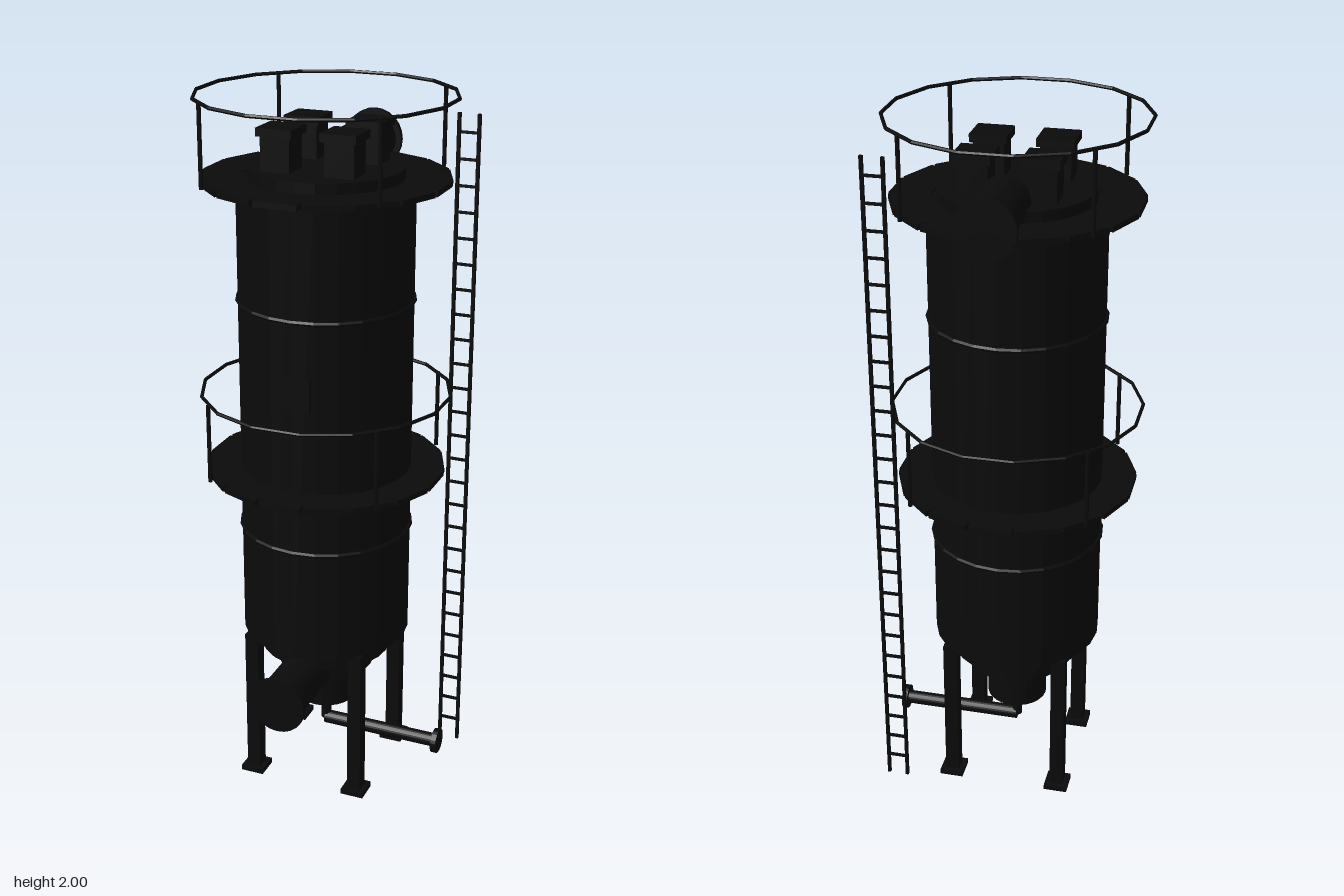
import * as THREE from 'three';

const black = new THREE.MeshStandardMaterial({ color: 0x0b0b0b, flatShading: true });
black.name = 'black steel';

export function createModel() {
  const model = new THREE.Group();
  model.name = 'filterSilo';
  // The tower axis sits slightly off centre, balancing the ladder and outlet
  const tower = new THREE.Group();
  tower.name = 'tower';
  tower.position.x = -0.009;
  model.add(tower);

  const add = (parent, name, geo, x = 0, y = 0, z = 0) => {
    const m = new THREE.Mesh(geo, black);
    m.name = name;
    m.position.set(x, y, z);
    parent.add(m);
    return m;
  };
  const box = (name, w, h, d, x, y, z, parent = tower) =>
    add(parent, name, new THREE.BoxGeometry(w, h, d), x, y, z);
  const drum = (name, r, y0, y1, sides = 24) =>
    add(tower, name, new THREE.CylinderGeometry(r, r, y1 - y0, sides), 0, (y0 + y1) / 2, 0);
  // Horizontal pipe running along z or x between a and b
  const pipe = (name, axis, r, a, b, y) => {
    const geo = new THREE.CylinderGeometry(r, r, Math.abs(b - a), 24);
    const mid = (a + b) / 2;
    if (axis === 'z') return add(tower, name, geo.rotateX(Math.PI / 2), 0, y, mid);
    return add(tower, name, geo.rotateZ(Math.PI / 2), mid, y, 0);
  };

  // Vessel, roof plate and stepped hopper
  drum('vessel', 0.24, 0.455, 1.78);
  drum('roof', 0.21, 1.78, 1.81);
  drum('hopperUpper', 0.19, 0.395, 0.46);
  drum('hopperMiddle', 0.14, 0.335, 0.40);
  drum('hopperLower', 0.088, 0.213, 0.34);
  drum('drainPipe', 0.015, 0.122, 0.22, 12);

  // Reinforcing bands
  for (const y of [0.785, 1.45]) {
    add(tower, 'band', new THREE.TorusGeometry(0.24, 0.007, 6, 24).rotateX(Math.PI / 2), 0, y, 0);
  }

  // Inspection hatch on the front
  box('hatch', 0.085, 0.085, 0.012, 0.013, 1.253, 0.243);

  // Ducts with end flanges
  pipe('outletDuct', 'z', 0.067, -0.14, -0.35, 1.815);
  pipe('outletFlange', 'z', 0.082, -0.345, -0.36, 1.815);
  pipe('inletDuct', 'z', 0.067, 0.05, 0.35, 0.365);
  pipe('inletFlange', 'z', 0.082, 0.345, 0.36, 0.365);
  pipe('dischargePipe', 'x', 0.02, 0, 0.35, 0.122);
  pipe('dischargeFlange', 'x', 0.036, 0.344, 0.36, 0.122);

  // Roof vents and support legs, one in each quadrant
  for (const sx of [-1, 1]) {
    for (const sz of [-1, 1]) {
      box('roofVent', 0.082, 0.1, 0.082, sx * 0.089, 1.855, sz * 0.089);
      box('ventCap', 0.1, 0.022, 0.1, sx * 0.089, 1.912, sz * 0.089);
      box('leg', 0.04, 0.455, 0.04, sx * 0.16, 0.2325, sz * 0.16);
      box('foot', 0.068, 0.016, 0.068, sx * 0.16, 0.008, sz * 0.16);
    }
  }

  // Walkways: sixteen deck plates, a hoop rail and four posts
  const walkway = (deckY, railY) => {
    const g = new THREE.Group();
    g.name = 'walkway';
    tower.add(g);
    for (let i = 0; i < 16; i++) {
      const a = (i * Math.PI) / 8;
      const plate = box('deckPlate', 0.12, 0.016, 0.11, Math.sin(a) * 0.275, deckY, Math.cos(a) * 0.275, g);
      plate.rotation.y = a;
    }
    const hoop = new THREE.TorusGeometry(0.347, 0.005, 6, 16);
    add(g, 'handrail', hoop.rotateX(Math.PI / 2).rotateY(Math.PI / 16), 0, railY, 0);
    for (let i = 0; i < 4; i++) {
      const a = Math.PI / 4 + (i * Math.PI) / 2;
      const h = railY - deckY;
      add(g, 'railPost', new THREE.CylinderGeometry(0.006, 0.006, h, 8),
        Math.sin(a) * 0.345, deckY + h / 2, Math.cos(a) * 0.345);
    }
  };
  walkway(0.96, 1.185);
  walkway(1.777, 1.995);

  // Access ladder
  const ladder = new THREE.Group();
  ladder.name = 'ladder';
  ladder.position.set(0.311, 0, -0.217);
  model.add(ladder);
  for (const s of [-1, 1]) box('ladderRail', 0.009, 1.93, 0.01, s * 0.028, 0.965, 0, ladder);
  for (let i = 0; i < 26; i++) box('rung', 0.056, 0.007, 0.007, 0, 0.067 + i * 0.0725, 0, ladder);

  return model;
}
